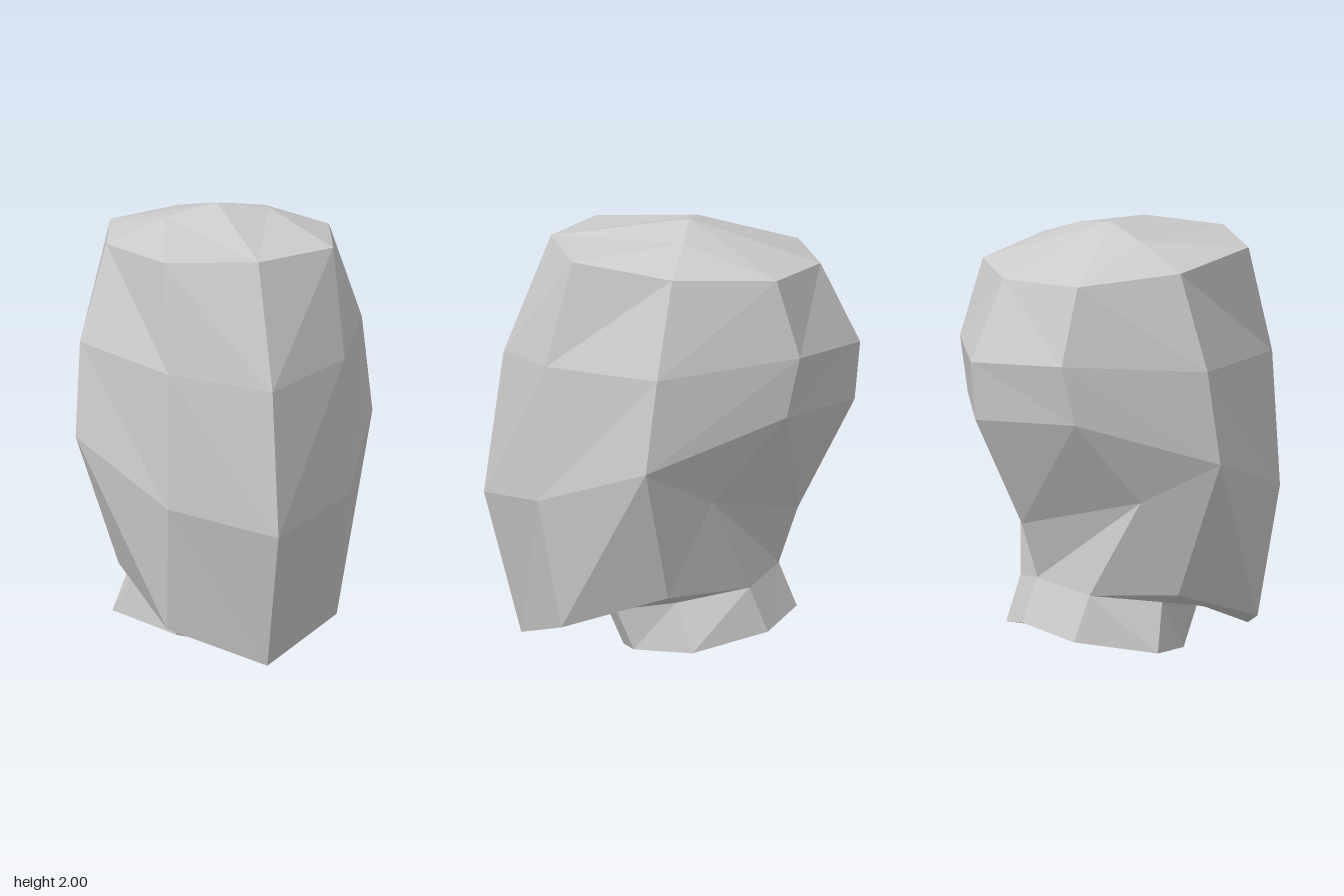
import * as THREE from 'three';

// Half cross-sections of the head (x >= 0), each running from front centre to back centre.
const hairline = [[0, 1.9, 0.55], [0.4, 1.89, 0.4], [0.525, 1.855, -0.07], [0.365, 1.825, -0.525], [0, 1.815, -0.675]];
const brow = [[0, 1.35, 0.765], [0.415, 1.4, 0.52], [0.665, 1.42, -0.02], [0.39, 1.475, -0.633], [0, 1.455, -0.855]];
const cheek = [[0, 0.69, 0.855], [0.427, 0.775, 0.555], [0.7, 0.99, 0.027], [0.41, 1.2, -0.575], [0, 1.185, -0.83]];
const jaw = [[0, 0.04, 0.685], [0.4, 0.18, 0.45], [0.475, 0.355, -0.045]];
const neckTop = [[0, 0.205, 0.31], [0.25, 0.23, 0.22], [0.385, 0.31, -0.07], [0.265, 0.36, -0.387], [0, 0.41, -0.485]];
const neckBase = [[0, 0.003, 0.22], [0.26, 0.05, 0.14], [0.47, 0.1, -0.155], [0.26, 0.155, -0.47], [0, 0.21, -0.567]];

// Single points: top of the head, nape and the hollow behind the jaw.
const apex = [0, 2, -0.08];
const crownSide = [0.245, 1.952, -0.085];
const nape = [0, 0.67, -0.572];
const hollow = [0.46, 0.806, -0.245];
const baseCentre = [0, 0.105, -0.155];

// Quads joining an upper section to a lower one.
function strip(upper, lower) {
  const faces = [];
  for (let i = 0; i < Math.min(upper.length, lower.length) - 1; i++) {
    faces.push([lower[i], lower[i + 1], upper[i + 1], upper[i]]);
  }
  return faces;
}

// Faceted mesh from half-model polygons plus their mirror images.
function mirroredMesh(name, faces, material) {
  const positions = [];
  for (const face of faces) {
    const mirrored = face.map(([x, y, z]) => [-x, y, z]).reverse();
    // Rotate so both halves split along the same diagonal
    mirrored.unshift(mirrored.pop());
    for (const p of [face, mirrored]) {
      for (let i = 1; i < p.length - 1; i++) positions.push(...p[0], ...p[i], ...p[i + 1]);
    }
  }
  const geometry = new THREE.BufferGeometry();
  geometry.setAttribute('position', new THREE.Float32BufferAttribute(positions, 3));
  geometry.computeVertexNormals();
  const mesh = new THREE.Mesh(geometry, material);
  mesh.name = name;
  return mesh;
}

export function createModel() {
  const clay = new THREE.MeshStandardMaterial({ color: 0xcccccc });
  clay.name = 'clay grey';
  const head = new THREE.Group();
  head.name = 'head';

  // Top of the skull
  const [hA, hB, hC, hD, hE] = hairline;
  head.add(mirroredMesh('crown', [
    [hA, hB, crownSide, apex],
    [hB, hC, crownSide],
    [crownSide, hC, hD],
    [apex, crownSide, hD, hE],
  ], clay));

  // Bands around the skull, then the face down to the jaw line
  head.add(mirroredMesh('skull', [...strip(hairline, brow), ...strip(brow, cheek)], clay));
  head.add(mirroredMesh('lowerFace', strip(cheek, jaw), clay));

  // Back of the jaw and the nape
  const [, , cC, cD, cE] = cheek;
  const [, , nC, nD, nE] = neckTop;
  head.add(mirroredMesh('nape', [
    [cC, hollow, cD],
    [cD, hollow, nape, cE],
    [jaw[2], hollow, cC],
    [jaw[2], nD, hollow],
    [hollow, nD, nE, nape],
  ], clay));

  // Underside of the chin and jaw
  head.add(mirroredMesh('underJaw', [...strip(jaw, neckTop), [jaw[2], nC, nD]], clay));

  // Flared neck with a closed base
  const [bA, bB, bC, bD, bE] = neckBase;
  head.add(mirroredMesh('neck', strip(neckTop, neckBase), clay));
  head.add(mirroredMesh('neckBase', [
    [bA, baseCentre, bC, bB],
    [baseCentre, bE, bD, bC],
  ], clay));

  return head;
}
